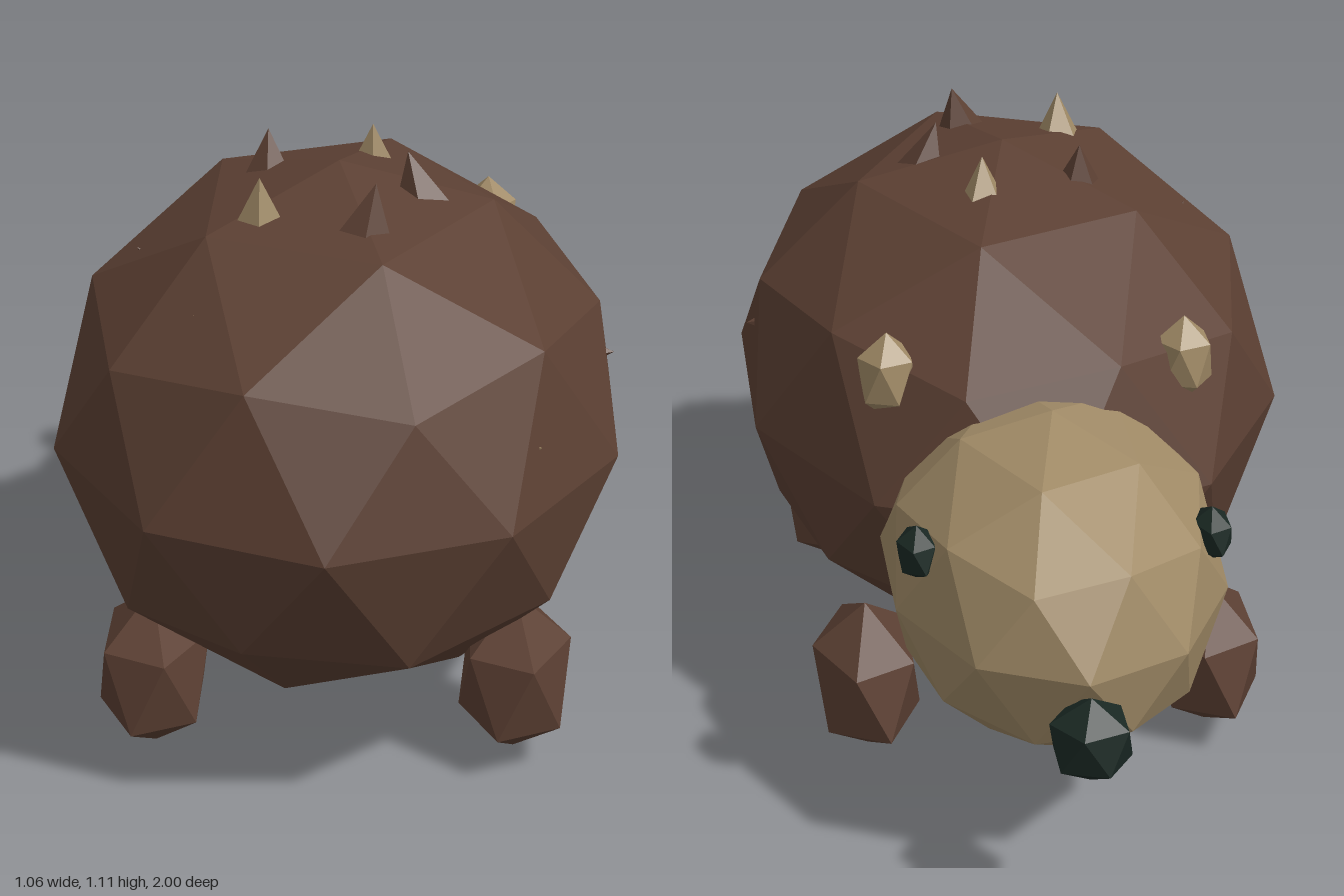
import * as THREE from 'three';

// Icosphere with its poles on the y axis
const verts = [0, 1, 0];
const faces = [];
for (let i = 0; i < 5; i++) { // upper ring
  const a = i * Math.PI * 0.4;
  verts.push(0.8944 * Math.cos(a), 0.4472, -0.8944 * Math.sin(a));
}
for (let i = 0; i < 5; i++) { // lower ring, half a step round
  const a = (i + 0.5) * Math.PI * 0.4;
  verts.push(0.8944 * Math.cos(a), -0.4472, -0.8944 * Math.sin(a));
}
verts.push(0, -1, 0);
for (let i = 0; i < 5; i++) {
  const j = (i + 1) % 5;
  const u = 1 + i, u2 = 1 + j, l = 6 + i, l2 = 6 + j;
  faces.push(0, u, u2, u, l, u2, l, l2, u2, 11, l2, l);
}

function material(name, color) {
  const m = new THREE.MeshStandardMaterial({ color, flatShading: true });
  m.name = name;
  return m;
}

export function createModel() {
  const model = new THREE.Group();
  model.name = 'hedgehog';
  const brown = material('dark brown', 0x5c4033);
  const tan = material('tan', 0xa08a66);
  const black = material('green black', 0x1a2823);

  function blob(name, mat, pos, radii, detail = 0) {
    const geo = new THREE.PolyhedronGeometry(verts, faces, 1, detail);
    geo.scale(...radii);
    geo.computeVertexNormals();
    const mesh = new THREE.Mesh(geo, mat);
    mesh.name = name;
    mesh.position.set(...pos);
    model.add(mesh);
  }

  // Five-sided cone with its tip at a point, aimed along a direction
  function spike(mat, tip, dir) {
    const geo = new THREE.ConeGeometry(0.058, 0.11, 5);
    geo.translate(0, -0.055, 0);
    const mesh = new THREE.Mesh(geo, mat);
    mesh.name = 'spike';
    mesh.position.set(...tip);
    mesh.quaternion.setFromUnitVectors(
      new THREE.Vector3(0, 1, 0), new THREE.Vector3(...dir).normalize());
    model.add(mesh);
  }

  // Body, head and nose
  blob('body', brown, [0, 0.58, 0.26], [0.557, 0.5, 0.74], 1);
  blob('head', tan, [0, 0.49, -0.44], [0.33, 0.32, 0.47], 1);
  blob('nose', black, [0, 0.39, -0.925], [0.085, 0.085, 0.088]);

  // Paired eyes, ears and feet
  for (const [side, s] of [['left', 1], ['right', -1]]) {
    blob(side + 'Eye', black, [s * 0.275, 0.62, -0.605], [0.042, 0.054, 0.062]);
    blob(side + 'Ear', tan, [s * 0.288, 0.8, -0.225], [0.063, 0.09, 0.065]);
    for (const z of [0.55, -0.25]) {
      blob(side + 'Foot', brown, [s * 0.343, 0.16, z], [0.118, 0.16, 0.185]);
    }
  }

  // Spikes on top of the back
  spike(brown, [-0.14, 1.105, 0.145], [0, 1, -0.1]);
  spike(tan, [0.06, 1.105, 0.11], [0, 1, 0.2]);
  spike(brown, [0.13, 1.11, 0.295], [-0.25, 1, 0]);
  spike(tan, [-0.14, 1.105, 0.445], [0, 1, 0.2]);
  spike(brown, [0.075, 1.11, 0.485], [0.2, 1, -0.05]);
  // Spike tips barely showing on the flanks
  spike(brown, [0.528, 0.703, 0.27], [1, 0, 0]);
  spike(brown, [-0.382, 0.912, 0.29], [-0.6, 0.8, 0]);
  spike(tan, [-0.25, 0.908, 0.64], [-0.3, 0.8, 0.45]);
  spike(tan, [0.38, 0.692, 0.72], [0.7, 0.3, 0.6]);
  return model;
}
